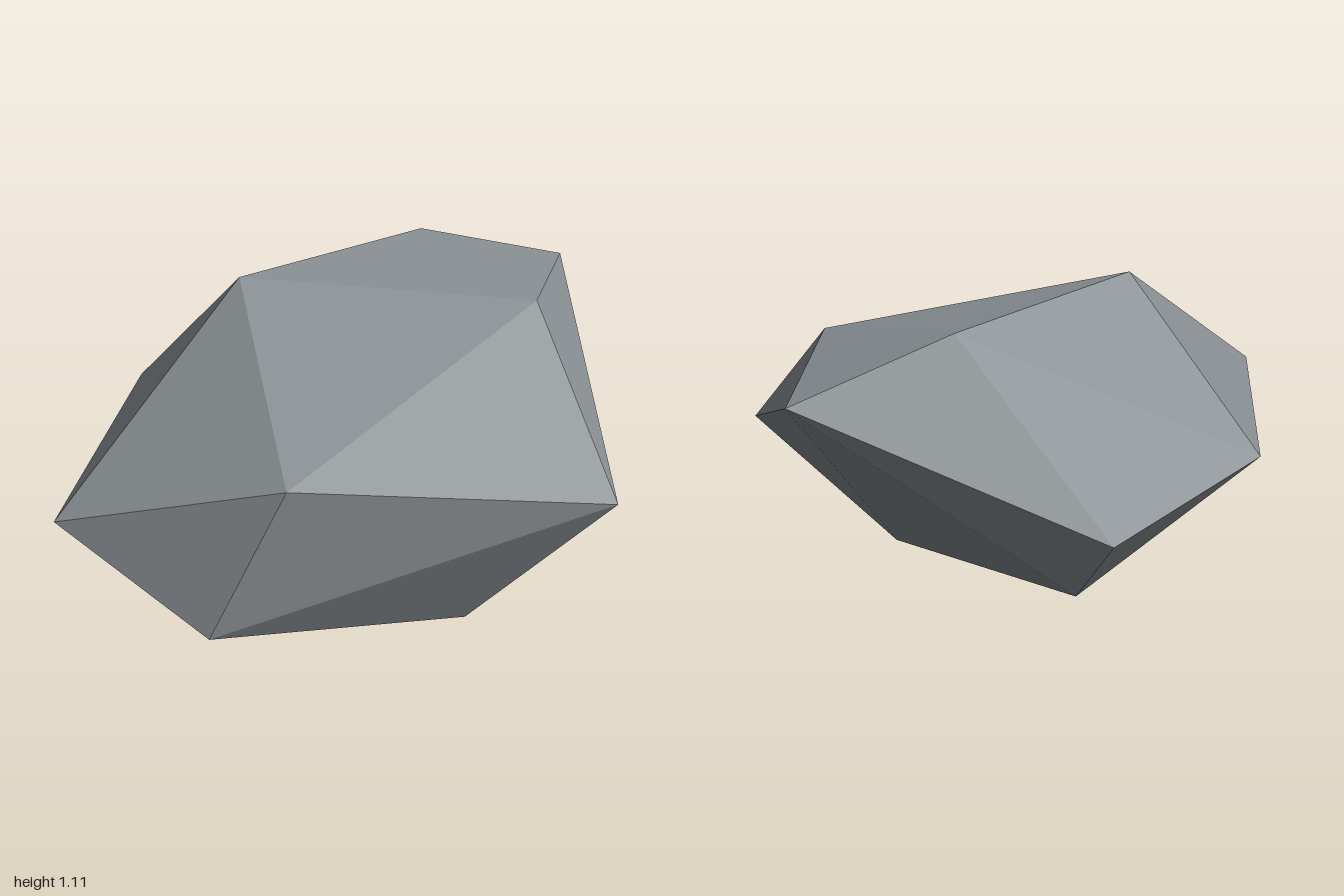
import * as THREE from 'three';
import { ConvexGeometry } from 'three/addons/geometries/ConvexGeometry.js';

// Faceted boulder: corners by level, joined by flat facets
const crown = [
  [-0.19, 1.11, -0.31], [0.54, 1.08, -0.26], [0.58, 0.99, 0.25],
  [1, 0.925, -0.045], [-0.58, 0.81, 0.4],
];
const waist = [
  [-1, 0.59, -0.2], [-0.27, 0.595, -0.78], [0.4, 0.51, -0.75], [0.44, 0.525, 0.775],
];
const base = [
  [-0.79, 0.32, 0.28], [0.33, 0.26, -0.55], [0.12, 0.06, 0.44], [-0.13, 0, 0.13],
];

export function createModel() {
  const group = new THREE.Group();
  group.name = 'rock';

  const stone = new THREE.MeshStandardMaterial({ color: 0x868c90, flatShading: true });
  stone.name = 'grey stone';

  const corners = [...crown, ...waist, ...base].map((p) => new THREE.Vector3(...p));
  const boulder = new THREE.Mesh(new ConvexGeometry(corners), stone);
  boulder.name = 'boulder';
  group.add(boulder);
  return group;
}
